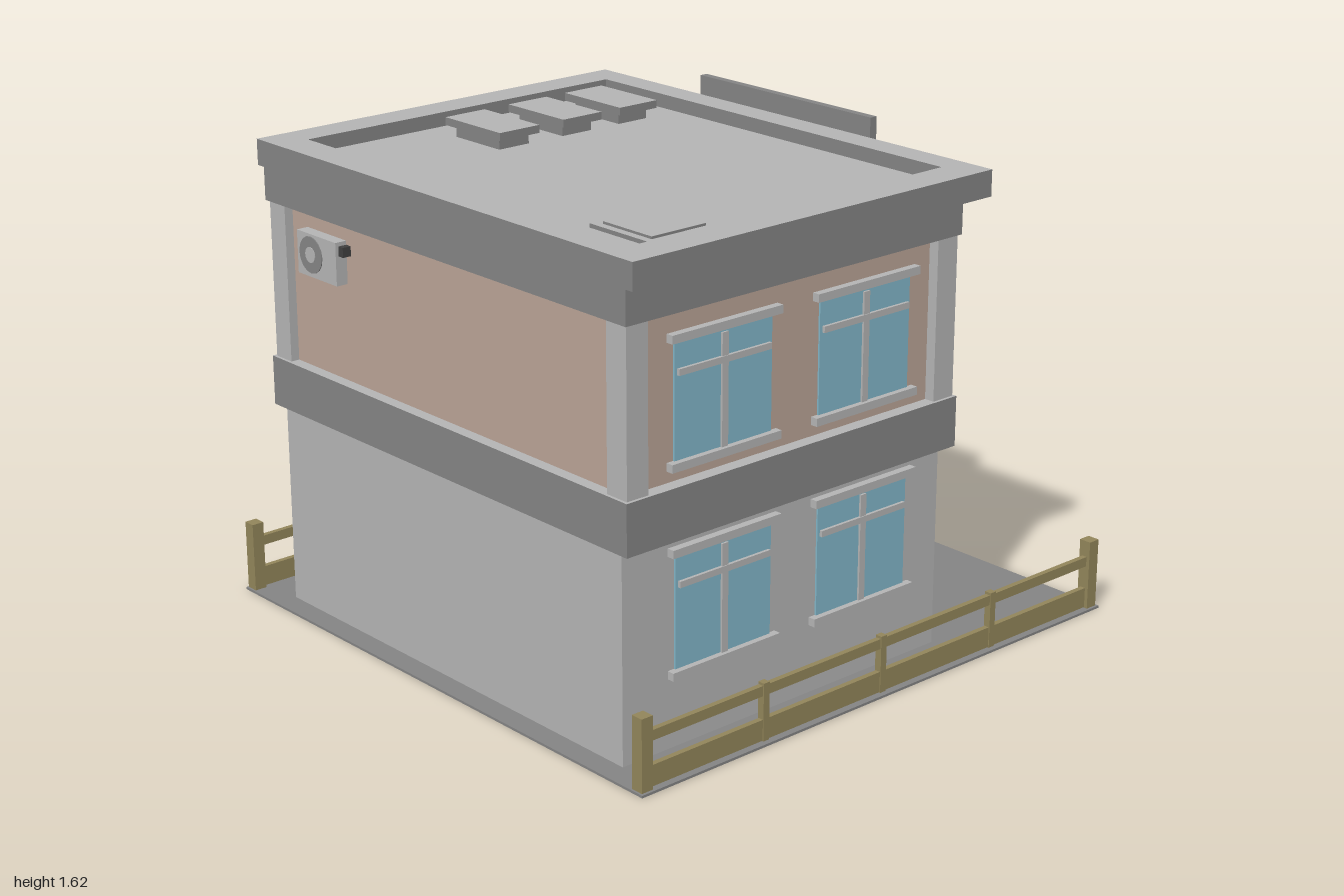
import * as THREE from 'three';

const mat = (name, color) => {
  const m = new THREE.MeshStandardMaterial({ color });
  m.name = name;
  return m;
};

export function createModel() {
  const light = mat('lightGrey', 0xb4b4b4);
  const dark = mat('darkGrey', 0x848484);
  const pink = mat('clayWall', 0xbaa396);
  const glass = mat('glassBlue', 0x82b6c8);
  const wood = mat('fenceWood', 0x92855a);
  const black = mat('charcoal', 0x404040);
  const lightTop = [dark, dark, light, dark, dark, dark];

  const model = new THREE.Group();
  model.name = 'house';

  const add = (name, geo, material, parent = model) => {
    const m = new THREE.Mesh(geo, material);
    m.name = name;
    parent.add(m);
    return m;
  };
  // Box given by its limits on each axis
  const box = (name, material, [x0, x1], [y0, y1], [z0, z1], parent = model) => {
    const g = new THREE.BoxGeometry(x1 - x0, y1 - y0, z1 - z0);
    g.translate((x0 + x1) / 2, (y0 + y1) / 2, (z0 + z1) / 2);
    return add(name, g, material, parent);
  };
  const shapeOf = (pts) => new THREE.Shape(pts.map(([x, y]) => new THREE.Vector2(x, y)));
  const extrude = (shape, depth) => new THREE.ExtrudeGeometry(shape, { depth, bevelEnabled: false });
  const rect = (x0, x1, y0, y1) => [[x0, y0], [x1, y0], [x1, y1], [x0, y1]];

  // Ground plate
  box('ground', dark, [-1, 1], [0, 0.008], [-1, 1]);

  // Ground floor, with a recessed doorway in the back wall
  box('lowerWalls', light, [-0.82, 0.83], [0.002, 0.69], [-0.33, 0.925]);
  const backWall = shapeOf([
    [-0.82, 0.002], [-0.69, 0.002], [-0.69, 0.6], [-0.39, 0.6],
    [-0.39, 0.002], [0.83, 0.002], [0.83, 0.69], [-0.82, 0.69],
  ]);
  add('lowerBackWall', extrude(backWall, 0.05), light).position.z = -0.38;

  // Glazed double door
  box('doorGlass', glass, [-0.69, -0.39], [0.01, 0.6], [-0.338, -0.33]);
  box('doorMullion', light, [-0.55, -0.53], [0.01, 0.6], [-0.346, -0.336]);
  box('doorTransom', light, [-0.69, -0.39], [0.5, 0.52], [-0.346, -0.336]);

  // Upper floor
  box('upperWalls', pink, [-0.82, 0.825], [0.84, 1.37], [-0.365, 0.9]);

  // Pilasters on the corners and between the back windows
  for (const x of [[-0.855, -0.775], [0.775, 0.86]]) {
    for (const z of [[-0.405, -0.32], [0.85, 0.93]]) box('cornerPilaster', light, x, [0.84, 1.37], z);
  }
  for (const x of [-0.272, 0.272]) {
    box('backPilaster', light, [x - 0.045, x + 0.045], [0.84, 1.37], [-0.405, -0.36]);
  }

  // Floor band and cornice
  box('floorBand', lightTop, [-0.865, 0.87], [0.68, 0.845], [-0.413, 0.94]);
  box('cornice', dark, [-0.865, 0.87], [1.365, 1.476], [-0.413, 0.94]);

  // Roof slab with a raised parapet round a sunken floor
  box('roofSlab', dark, [-0.89, 0.905], [1.475, 1.505], [-0.5, 0.945]);
  const parapet = shapeOf(rect(-0.89, 0.905, -0.945, 0.5));
  parapet.holes.push(new THREE.Path(rect(-0.775, 0.785, -0.83, 0.405).map((p) => new THREE.Vector2(...p))));
  const parapetMesh = add('parapet', extrude(parapet, 0.055), [light, dark]);
  parapetMesh.rotation.x = -Math.PI / 2;
  parapetMesh.position.y = 1.505;
  box('roofFloor', light, [-0.775, 0.785], [1.5, 1.513], [-0.405, 0.83]);

  // Roof fittings
  for (const z of [-0.21, 0.03, 0.29]) {
    box('skylightBase', dark, [-0.635, -0.415], [1.51, 1.555], [z - 0.06, z + 0.06]);
    box('skylight', lightTop, [-0.665, -0.385], [1.55, 1.576], [z - 0.08, z + 0.08]);
  }
  box('hatchFrame', lightTop, [0.45, 0.715], [1.51, 1.526], [0.455, 0.71]);
  box('hatchLid', lightTop, [0.48, 0.69], [1.52, 1.534], [0.477, 0.685]);
  box('backSignBoard', dark, [-0.4, 0.39], [1.5, 1.625], [-0.528, -0.5]);

  // Windows: built facing +z with the sill line at y = 0
  const addWindow = (x, y, z, turn) => {
    const w = new THREE.Group();
    w.name = 'window';
    box('pane', glass, [-0.19, 0.19], [0, 0.36], [-0.002, 0.006], w);
    box('sill', light, [-0.215, 0.215], [-0.026, 0], [-0.002, 0.025], w);
    box('lintel', light, [-0.215, 0.215], [0.36, 0.386], [-0.002, 0.025], w);
    box('mullion', light, [-0.012, 0.012], [0, 0.348], [0, 0.013], w);
    box('transom', light, [-0.18, 0.18], [0.257, 0.277], [0, 0.016], w);
    w.position.set(x, y, z);
    w.rotation.y = turn;
    model.add(w);
  };
  const lowY = 0.26, highY = 0.907;
  for (const y of [lowY, highY]) {
    for (const z of [0.535, -0.04]) {
      addWindow(y === lowY ? 0.83 : 0.825, y, z, Math.PI / 2);
      addWindow(-0.82, y, z, -Math.PI / 2);
    }
  }
  for (const x of [0.545, 0]) addWindow(x, lowY, -0.38, Math.PI);
  for (const x of [0.545, 0, -0.545]) addWindow(x, highY, -0.365, Math.PI);

  // Porch with a gabled roof on two columns
  const porch = new THREE.Group();
  porch.name = 'porch';
  porch.position.x = -0.55;
  model.add(porch);
  const gablePts = [[-0.31, 0.685], [0.31, 0.685], [0.31, 0.757], [0, 0.832], [-0.31, 0.757]];
  add('porchGable', extrude(shapeOf(gablePts), 0.495), [light, dark], porch).position.z = -0.905;
  const trim = shapeOf(gablePts);
  trim.holes.push(new THREE.Path([[-0.25, 0.718], [0, 0.785], [0.25, 0.718]].map((p) => new THREE.Vector2(...p))));
  add('porchGableTrim', extrude(trim, 0.015), dark, porch).position.z = -0.92;
  const chevron = shapeOf([[-0.31, 0.755], [0, 0.83], [0.31, 0.755], [0.31, 0.761], [0, 0.836], [-0.31, 0.761]]);
  add('porchRoof', extrude(chevron, 0.512), light, porch).position.z = -0.921;
  for (const x of [-0.262, 0.262]) {
    box('porchColumn', light, [x - 0.043, x + 0.043], [0.002, 0.69], [-0.83, -0.745], porch);
  }

  // Air conditioner on the front wall
  box('airConditioner', light, [-0.695, -0.49], [1.165, 1.305], [0.895, 0.941]);
  box('airConditionerValve', black, [-0.49, -0.467], [1.26, 1.292], [0.895, 0.93]);
  const disc = (name, r, depth, material) => {
    const d = add(name, new THREE.CylinderGeometry(r, r, depth, 16), material);
    d.rotation.x = Math.PI / 2;
    d.position.set(-0.622, 1.238, 0.94);
  };
  disc('fanGrille', 0.06, 0.008, dark);
  disc('fanHub', 0.026, 0.012, light);

  // Fences along both sides
  for (const x of [-0.975, 0.97]) {
    const fence = new THREE.Group();
    fence.name = 'fence';
    fence.position.x = x;
    model.add(fence);
    for (const z of [-0.972, 0.972]) {
      box('endPost', wood, [-0.021, 0.021], [0.002, 0.242], [z - 0.021, z + 0.021], fence);
    }
    for (const z of [-0.495, 0, 0.495]) {
      box('middlePost', wood, [-0.012, 0.012], [0.002, 0.196], [z - 0.012, z + 0.012], fence);
    }
    box('upperRail', wood, [-0.009, 0.009], [0.155, 0.188], [-0.96, 0.96], fence);
    box('lowerRail', wood, [-0.009, 0.009], [0.01, 0.078], [-0.96, 0.96], fence);
  }
  return model;
}
